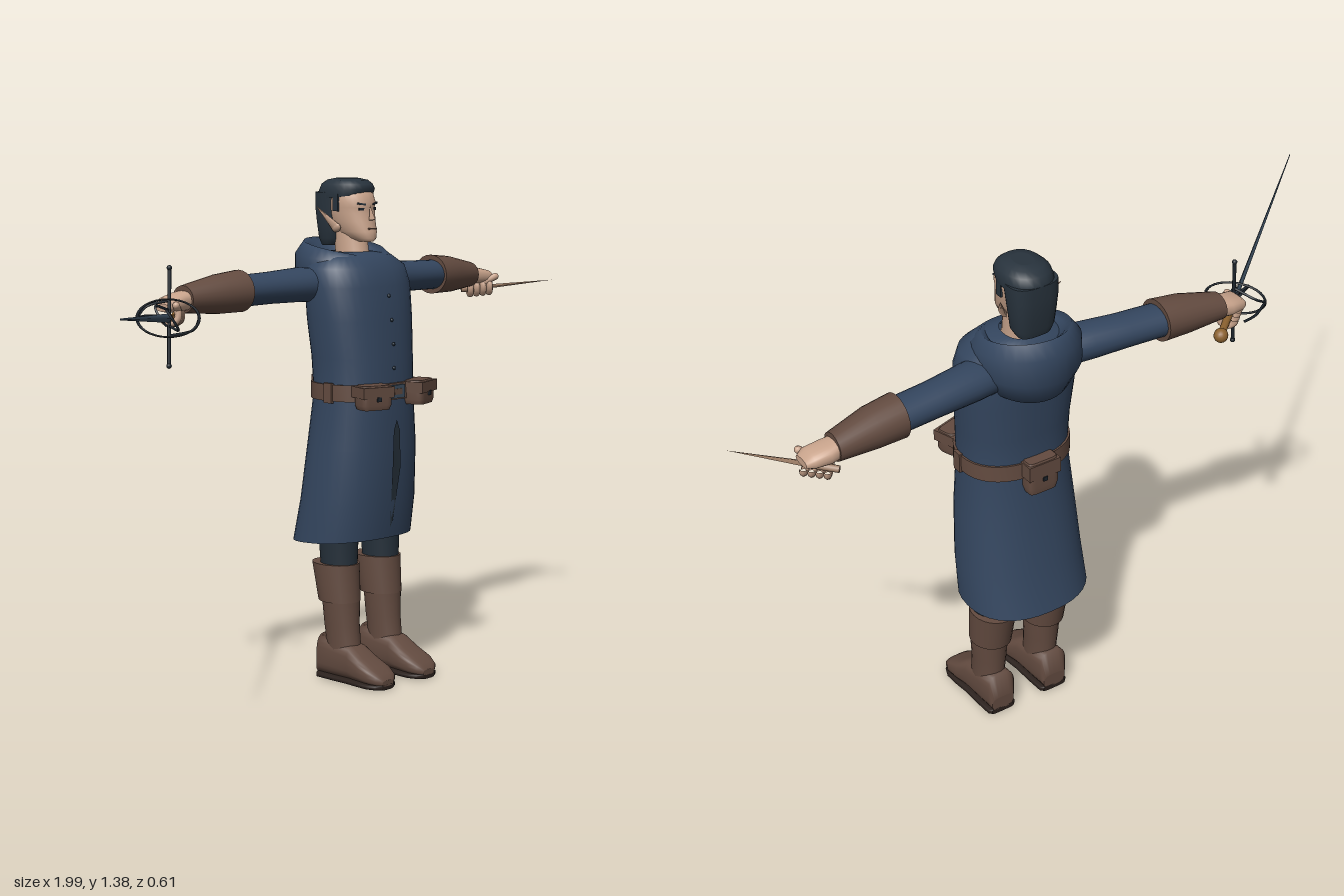
import * as THREE from 'three';

const mat = (name, color, side = THREE.FrontSide) =>
  Object.assign(new THREE.MeshStandardMaterial({ color, side }), { name });

// Surface from a rule: closed in i (around), open in j (along), optional end caps.
function grid(n, m, fn, caps = false) {
  const pos = [], idx = [];
  for (let j = 0; j < m; j++) for (let i = 0; i < n; i++) pos.push(...fn((i / n) * Math.PI * 2, j));
  for (let j = 0; j < m - 1; j++) for (let i = 0; i < n; i++) {
    const a = j * n + i, b = j * n + (i + 1) % n;
    idx.push(a, b, a + n, b, b + n, a + n);
  }
  if (caps) for (const j of [0, m - 1]) {
    const base = pos.length / 3;
    for (let i = 0; i < n; i++) pos.push(...fn((i / n) * Math.PI * 2, j));
    for (let i = 1; i < n - 1; i++) j ? idx.push(base, base + i, base + i + 1) : idx.push(base, base + i + 1, base + i);
  }
  const g = new THREE.BufferGeometry();
  g.setAttribute('position', new THREE.Float32BufferAttribute(pos, 3));
  g.setIndex(idx);
  g.computeVertexNormals();
  return g;
}

// Rings [t, cu, cv, ru, rv, tilt] along an axis; (u, v) is (y,z), (z,x) or (x,y).
function loft(axis, rings, { n = 24, power = 2, caps = true } = {}) {
  const sp = v => Math.sign(v) * Math.abs(v) ** (2 / power);
  return grid(n, rings.length, (a, j) => {
    const [t, cu, cv, ru, rv, tilt = 0] = rings[j];
    const u = cu + ru * sp(Math.cos(a)), v = cv + rv * sp(Math.sin(a)), w = t + tilt * Math.cos(a);
    return axis === 'x' ? [w, u, v] : axis === 'y' ? [v, w, u] : [u, v, w];
  }, caps);
}

// Upright loft given by height, front z, back z and half width.
const upright = (rows, opt, x = 0) =>
  loft('y', rows.map(([y, f, b, rx, tilt]) => [y, (f + b) / 2, x, (f - b) / 2, rx, tilt]), opt);

export function createModel() {
  const model = new THREE.Group();
  model.name = 'swordsman';
  model.position.x = 0.2175;

  const cloth = mat('blue cloth', 0x34465f, THREE.DoubleSide);
  const leather = mat('brown leather', 0x634b40);
  const skin = mat('skin', 0xc9a48c);
  const hair = mat('dark hair', 0x28333d);
  const dark = mat('dark trousers', 0x26313b, THREE.DoubleSide);
  const steel = mat('blued steel', 0x3d4f60);
  const iron = mat('black iron', 0x1d252d);
  const brass = mat('brass', 0x8c6230);
  const sole = mat('dark sole', 0x2b211d);
  const bone = mat('pale dagger', 0xa08068);

  const add = (parent, name, geo, material, p = [0, 0, 0], r = [0, 0, 0], s = [1, 1, 1]) => {
    const m = new THREE.Mesh(geo, material);
    m.name = name;
    m.position.set(...p); m.rotation.set(...r); m.scale.set(...s);
    parent.add(m);
    return m;
  };
  const group = (parent, name) => {
    const g = new THREE.Group();
    g.name = name;
    parent.add(g);
    return g;
  };
  const box = (...d) => new THREE.BoxGeometry(...d);
  const ball = new THREE.SphereGeometry(1, 16, 12);
  const tube = (pts, r) => new THREE.TubeGeometry(
    new THREE.CatmullRomCurve3(pts.map(p => new THREE.Vector3(...p))), 20, r, 6);

  // Long coat, open at the hem
  add(model, 'coat', upright([
    [0.39, 0, -0.277, 0.174, 0.01], [0.5, 0.015, -0.25, 0.17], [0.65, 0.024, -0.23, 0.16],
    [0.8, 0.02, -0.212, 0.146], [0.9, 0.014, -0.216, 0.151], [1.0, 0.004, -0.226, 0.16],
    [1.09, -0.008, -0.23, 0.164], [1.14, -0.025, -0.23, 0.155], [1.17, -0.055, -0.22, 0.115],
    [1.18, -0.09, -0.2, 0.05]], { n: 36, power: 2.3, caps: false }), cloth);

  // Dark slit down the coat front
  const slit = new THREE.Shape([[0, 0.73], [-0.012, 0.7], [-0.016, 0.6], [-0.005, 0.45], [0, 0.43],
    [0.005, 0.45], [0.016, 0.6], [0.012, 0.7]].map(p => new THREE.Vector2(...p)));
  const slitGeo = new THREE.ShapeGeometry(slit), sp = slitGeo.attributes.position;
  for (let i = 0; i < sp.count; i++) sp.setZ(i, 0.028 - 0.8 * Math.max(0, 0.6 - sp.getY(i)) ** 2);
  slitGeo.computeVertexNormals();
  add(model, 'coatSlit', slitGeo, dark);
  for (let i = 0; i < 4; i++)
    add(model, 'button', ball, dark, [0, 0.87 + i * 0.065, 0.017 - 0.0022 * i * i], [0, 0, 0], [0.005, 0.005, 0.004]);

  // Belt with buckle, loops and pouches
  add(model, 'belt', upright([[0.785, 0.027, -0.219, 0.153], [0.83, 0.025, -0.218, 0.153]],
    { n: 36, power: 2.3 }), leather);
  add(model, 'buckle', box(0.055, 0.036, 0.008), steel, [0, 0.807, 0.028]);
  add(model, 'buckleTongue', box(0.03, 0.016, 0.008), leather, [0, 0.807, 0.03]);
  const pouch = (name, x, y, z, w, h, d, ry) => {
    const g = group(model, name);
    g.position.set(x, y, z); g.rotation.y = ry;
    add(g, 'pouchBody', loft('y', [[-h / 2, 0, 0, d * 0.44, w * 0.44], [-h * 0.3, 0, 0, d / 2, w / 2],
      [h * 0.4, 0, 0, d / 2, w / 2], [h / 2, 0, 0, d * 0.4, w * 0.46]], { power: 5, n: 24 }), leather);
    add(g, 'pouchFlap', box(w * 1.04, h * 0.45, d * 1.06), leather, [0, h * 0.22, 0]);
    add(g, 'pouchClasp', box(0.012, 0.012, 0.006), iron, [0, -h * 0.05, d * 0.53]);
  };
  for (const s of [1, -1]) {
    pouch('frontPouch', s * 0.092, 0.8, 0.025, 0.092, 0.066, 0.062, s * 0.3);
    add(model, 'beltLoop', box(0.01, 0.054, 0.028), leather, [s * 0.153, 0.807, -0.083]);
  }
  pouch('backPouch', 0, 0.793, -0.226, 0.09, 0.094, 0.045, Math.PI);

  // Lowered hood: rows of front radius, front y, back radius, back y
  const fold = [[0.05, 1.13, 0.08, 1.15], [0.075, 1.162, 0.115, 1.2], [0.092, 1.172, 0.13, 1.213],
    [0.116, 1.155, 0.155, 1.175], [0.126, 1.13, 0.154, 1.1], [0.117, 1.1, 0.12, 1.035], [0.08, 1.09, 0.06, 1.02]];
  add(model, 'hood', grid(36, fold.length, (a, j) => {
    const c = Math.cos(a), w = (1 - c) / 2, [rf, yf, rb, yb] = fold[j];
    const r = rf + (rb - rf) * w;
    return [-Math.sin(a) * r, yf + (yb - yf) * w - 0.025 * Math.max(0, c) ** 12, -0.15 + c * r];
  }), cloth);

  // Head, with neck, face, hair and pointed ears
  const head = group(model, 'head');
  add(head, 'neck', upright([[1.12, -0.07, -0.19, 0.045], [1.17, -0.088, -0.19, 0.04],
    [1.25, -0.1, -0.2, 0.042]]), skin);
  add(head, 'face', upright([[1.208, -0.066, -0.12, 0.018], [1.217, -0.06, -0.155, 0.032],
    [1.235, -0.062, -0.19, 0.044], [1.262, -0.07, -0.21, 0.052], [1.285, -0.074, -0.22, 0.056],
    [1.3, -0.076, -0.225, 0.058], [1.315, -0.074, -0.225, 0.06], [1.345, -0.086, -0.225, 0.058],
    [1.365, -0.12, -0.2, 0.04]], { power: 2.2 }), skin);
  add(head, 'nose', new THREE.ConeGeometry(0.012, 0.042, 4), skin, [0, 1.287, -0.07], [-0.2, 0, 0]);
  add(head, 'mouth', box(0.03, 0.004, 0.008), leather, [0, 1.243, -0.066]);
  add(head, 'hairBack', upright([[1.195, -0.175, -0.225, 0.045], [1.215, -0.16, -0.231, 0.056],
    [1.26, -0.155, -0.237, 0.061], [1.3, -0.15, -0.241, 0.065], [1.34, -0.14, -0.241, 0.066]],
    { power: 2.8 }), hair);
  add(head, 'hairTop', upright([[1.325, -0.088, -0.241, 0.065, 0.01], [1.345, -0.08, -0.241, 0.066, 0.005],
    [1.362, -0.086, -0.232, 0.06], [1.373, -0.1, -0.215, 0.047], [1.378, -0.125, -0.19, 0.025]],
    { power: 2.3 }), hair);
  for (const s of [1, -1]) {
    add(head, 'eye', box(0.017, 0.007, 0.006), iron, [s * 0.024, 1.296, -0.083], [0, s * 0.25, 0]);
    add(head, 'eyebrow', box(0.024, 0.005, 0.008), hair, [s * 0.025, 1.31, -0.082], [0, s * 0.25, s * 0.15]);
    add(head, 'sideburn', box(0.006, 0.05, 0.02), hair, [s * 0.06, 1.315, -0.145]);
    const ear = group(head, 'ear');
    ear.position.set(s * 0.069, 1.271, -0.168);
    ear.quaternion.setFromUnitVectors(new THREE.Vector3(0, 1, 0), new THREE.Vector3(s * 0.034, 0.06, -0.045).normalize());
    add(ear, 'earBlade', new THREE.ConeGeometry(0.017, 0.085, 8), skin, [0, 0.004, 0], [0, 0, 0], [0.45, 1, 1]);
    add(ear, 'earLobe', ball, skin, [0, -0.036, 0], [0, 0, 0], [0.008, 0.012, 0.016]);
  }

  // Legs and boots
  for (const s of [1, -1]) {
    const leg = group(model, s > 0 ? 'leftLeg' : 'rightLeg');
    leg.position.x = s * 0.084;
    add(leg, 'trouserLeg', upright([[0.28, -0.055, -0.16, 0.045], [0.4, -0.053, -0.168, 0.052],
      [0.6, -0.04, -0.18, 0.07]]), dark);
    add(leg, 'bootCuff', upright([[0.223, -0.045, -0.168, 0.055], [0.328, -0.05, -0.192, 0.059]]), leather);
    add(leg, 'bootShaft', upright([[0.06, -0.035, -0.145, 0.042], [0.11, -0.038, -0.145, 0.041],
      [0.16, -0.045, -0.15, 0.045], [0.24, -0.046, -0.157, 0.051]]), leather);
    const foot = [[-0.163, 0.05, 0.034], [-0.155, 0.125, 0.042], [-0.11, 0.118, 0.044], [-0.04, 0.105, 0.045],
      [0, 0.078, 0.049], [0.04, 0.058, 0.05], [0.065, 0.042, 0.04], [0.076, 0.026, 0.022]];
    add(leg, 'bootFoot', loft('z', foot.map(([z, h, w]) => [z, 0, h / 2 + 0.005, w, h / 2 - 0.005]),
      { power: 3 }), leather);
    add(leg, 'bootSole', loft('z', foot.map(([z, , w]) => [z, 0, 0.008, w + 0.001, 0.008]), { power: 4 }), sole);
  }

  // Arms, modelled on the left side and mirrored
  const armed = (s) => {
    const arm = group(model, s > 0 ? 'leftArm' : 'rightArm');
    arm.scale.x = s;
    add(arm, 'sleeve', loft('x', [[0.09, 1.09, -0.155, 0.045, 0.06], [0.17, 1.096, -0.172, 0.047, 0.058],
      [0.28, 1.093, -0.182, 0.043, 0.053], [0.4, 1.09, -0.19, 0.042, 0.052]]), cloth);
    add(arm, 'armCuff', loft('x', [[0.382, 1.091, -0.19, 0.056, 0.061], [0.46, 1.087, -0.194, 0.052, 0.056],
      [0.568, 1.08, -0.205, 0.036, 0.04]]), leather);
    const hand = group(arm, 'hand');
    add(hand, 'palm', loft('x', [[0.555, 1.078, -0.205, 0.026, 0.032], [0.59, 1.075, -0.206, 0.024, 0.038],
      [0.63, 1.07, -0.2, 0.02, 0.036], [0.648, 1.064, -0.196, 0.01, 0.026]], { power: 2.5 }), skin);
    const grip = group(hand, 'fingers');
    grip.position.set(0.612, 1.042, -0.2);
    grip.rotation.order = 'YXZ';
    grip.rotation.set(-0.096, Math.atan2(0.68, 0.56), 0);
    for (let i = 0; i < 4; i++)
      add(grip, 'finger', new THREE.TorusGeometry(0.021, 0.0095, 8, 14, 4.9), skin, [0, 0, -0.03 + i * 0.019], [0, 0, 1.4]);
    add(grip, 'thumb', new THREE.CapsuleGeometry(0.01, 0.04, 4, 8), skin, [-0.018, 0.018, 0.028], [1.2, 0, 0]);
    return arm;
  };
  // Weapon holders point local +z from one place to another
  const aimed = (parent, name, from, to) => {
    const g = new THREE.Group();
    g.name = name;
    g.position.set(...from);
    g.lookAt(...to);
    parent.add(g);
    return g;
  };
  const left = armed(1), right = armed(-1);

  const dagger = aimed(left, 'dagger', [0.605, 1.038, -0.2], [0.768, 1.06, -0.05]);
  add(dagger, 'daggerBlade', new THREE.ConeGeometry(0.012, 0.19, 4), bone, [0, 0, 0.128], [Math.PI / 2, 0, 0], [1, 1, 0.5]);
  add(dagger, 'daggerGrip', new THREE.CylinderGeometry(0.009, 0.009, 0.09, 8), bone, [0, 0, -0.005], [Math.PI / 2, 0, 0]);

  // Sword with swept hilt
  const sword = aimed(right, 'sword', [0.6525, 1.04, -0.165], [1.2175, 1.11, 0.3]);
  add(sword, 'blade', new THREE.CylinderGeometry(0.002, 0.012, 0.735, 4), steel, [0, 0, 0.3675], [Math.PI / 2, 0, 0], [0.55, 1, 1]);
  add(sword, 'swordGrip', new THREE.CylinderGeometry(0.01, 0.01, 0.14, 10), brass, [0, 0, -0.07], [Math.PI / 2, 0, 0]);
  add(sword, 'pommel', ball, brass, [0, 0, -0.148], [0, 0, 0], [0.019, 0.019, 0.02]);
  add(sword, 'crossguard', new THREE.CylinderGeometry(0.005, 0.005, 0.25, 8), iron, [0, 0.003, 0]);
  for (const s of [1, -1]) add(sword, 'guardKnob', ball, iron, [0, 0.003 + s * 0.125, 0], [0, 0, 0], [0.007, 0.007, 0.007]);
  add(sword, 'guardRing', new THREE.TorusGeometry(0.08, 0.004, 6, 32), iron, [0, 0, 0.02], [0, 0, 0], [1, 0.6, 1]);
  for (const s of [1, -1]) {
    add(sword, 'sweptBar', tube([[s * 0.08, 0, 0.02], [s * 0.06, s * 0.03, -0.015], [0, s * 0.045, 0]], 0.0035), iron);
    add(sword, 'lowerBar', tube([[0, s * 0.02, 0], [s * 0.03, s * 0.03, 0.04], [s * 0.015, 0, 0.055], [0, -s * 0.02, 0.045]], 0.0035), iron);
  }
  add(sword, 'knuckleBow', tube([[0.08, 0, 0.02], [0.068, 0.005, -0.05], [0.045, 0.005, -0.085]], 0.0035), iron);
  return model;
}
